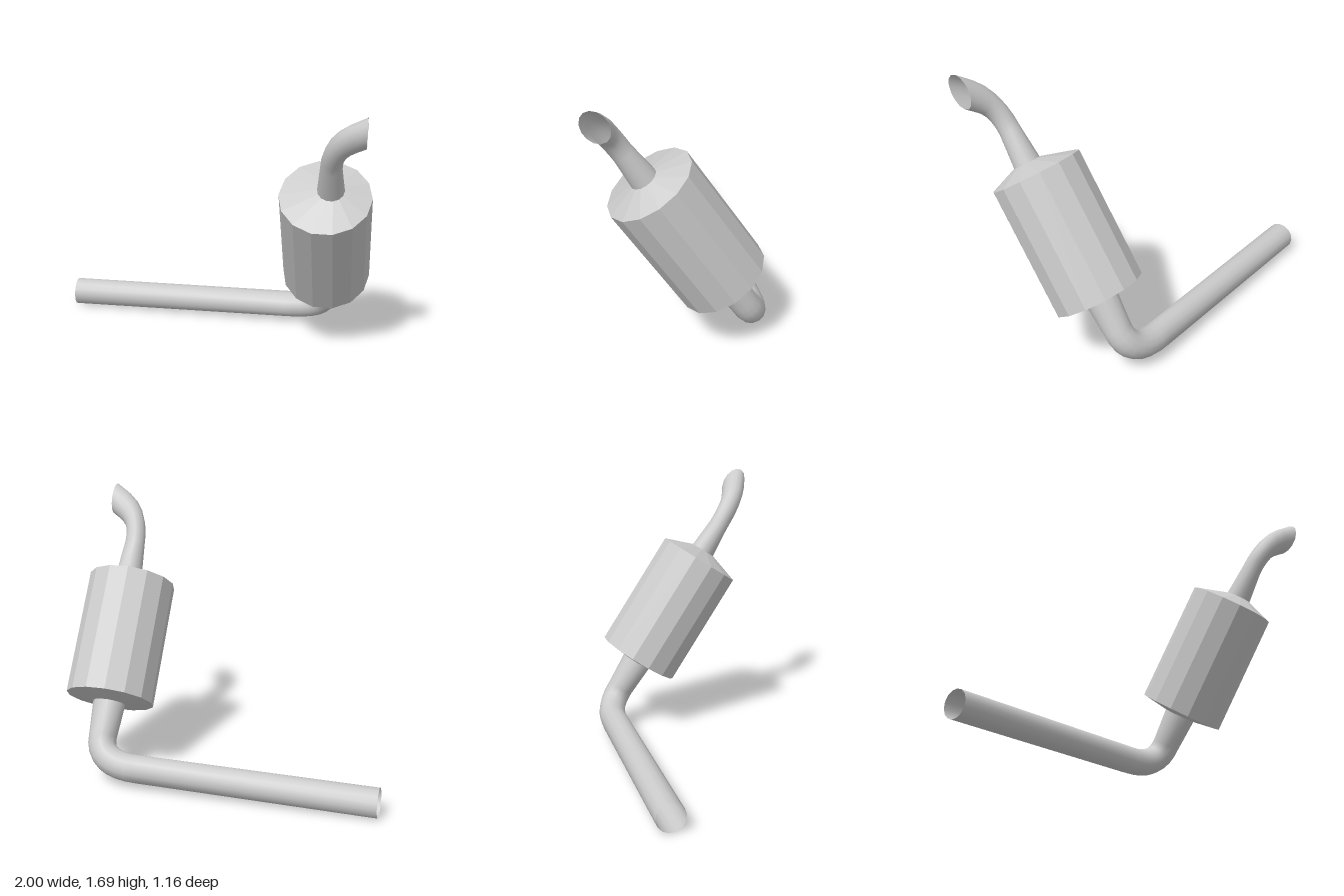
import * as THREE from 'three';

const SIDES = 14;

// Skin over elliptical rings [x, y, hx, hy, rz]: centre, in-plane half axis, half axis along z.
function loft(name, rings, flatShading) {
  const pos = [], index = [];
  for (const [x, y, hx, hy, rz] of rings) {
    for (let j = 0; j < SIDES; j++) {
      const t = (j / SIDES) * Math.PI * 2;
      pos.push(x + Math.cos(t) * hx, y + Math.cos(t) * hy, Math.sin(t) * rz);
    }
  }
  for (let i = 0; i < rings.length - 1; i++) {
    for (let j = 0; j < SIDES; j++) {
      const a = i * SIDES + j, b = i * SIDES + (j + 1) % SIDES;
      index.push(a, a + SIDES, b, b, a + SIDES, b + SIDES);
    }
  }
  const geo = new THREE.BufferGeometry();
  geo.setAttribute('position', new THREE.Float32BufferAttribute(pos, 3));
  geo.setIndex(index);
  geo.computeVertexNormals();
  const mesh = new THREE.Mesh(geo, new THREE.MeshStandardMaterial({
    color: 0xcccccc, flatShading, side: THREE.DoubleSide,
  }));
  mesh.name = name;
  return mesh;
}

// Round ring at (x, y) square to the travel direction (tx, ty)
function ring(x, y, tx, ty, r) {
  const l = Math.hypot(tx, ty);
  return [x, y, (ty / l) * r, (-tx / l) * r, r];
}

// Ring spanning the outer and inner edge points of a bend
function span(ox, oy, ix, iy, rz) {
  return [(ox + ix) / 2, (oy + iy) / 2, (ix - ox) / 2, (iy - oy) / 2, rz];
}

export function createModel() {
  const group = new THREE.Group();
  group.name = 'exhaust';

  // Everything lies in one leaning plane; local y runs along the muffler axis
  const assembly = new THREE.Group();
  assembly.name = 'exhaustAssembly';
  assembly.rotation.x = Math.atan2(0.55, 0.835);
  assembly.position.set(0, 0.4625, -0.2525);
  group.add(assembly);

  // Faceted muffler with shallow lower cone and off-centre upper cone
  assembly.add(loft('muffler', [
    ring(0.7275, -0.025, 0, 1, 0.1),
    ring(0.7275, 0, 0, 1, 0.2725),
    ring(0.7275, 0.787, 0, 1, 0.2725),
    ring(0.76, 0.853, 0, 1, 0.08),
  ], true));

  // Inlet pipe: long straight run, elbow, neck into the muffler
  const bend = new THREE.QuadraticBezierCurve(
    new THREE.Vector2(0.46, -0.416),
    new THREE.Vector2(0.73, -0.414),
    new THREE.Vector2(0.7275, -0.235),
  );
  const inlet = [ring(-1, -0.448, 1, 0, 0.088)];
  const steps = 8;
  for (let i = 0; i <= steps; i++) {
    const p = bend.getPoint(i / steps), t = bend.getTangent(i / steps);
    inlet.push(ring(p.x, p.y, t.x, t.y, 0.086));
  }
  inlet.push(ring(0.7275, -0.025, 0, 1, 0.1));
  assembly.add(loft('inletPipe', inlet, false));

  // Outlet pipe: tapered neck, curved stack, end cut square to x
  assembly.add(loft('outletPipe', [
    ring(0.76, 0.853, 0, 1, 0.08),
    span(0.699, 1.055, 0.825, 1.05, 0.063),
    span(0.706, 1.13, 0.826, 1.09, 0.063),
    span(0.724, 1.205, 0.833, 1.13, 0.064),
    span(0.755, 1.28, 0.848, 1.17, 0.065),
    span(0.8, 1.345, 0.872, 1.2, 0.067),
    span(0.86, 1.4, 0.905, 1.225, 0.069),
    span(0.955, 1.466, 0.955, 1.258, 0.07),
  ], false));

  return group;
}
